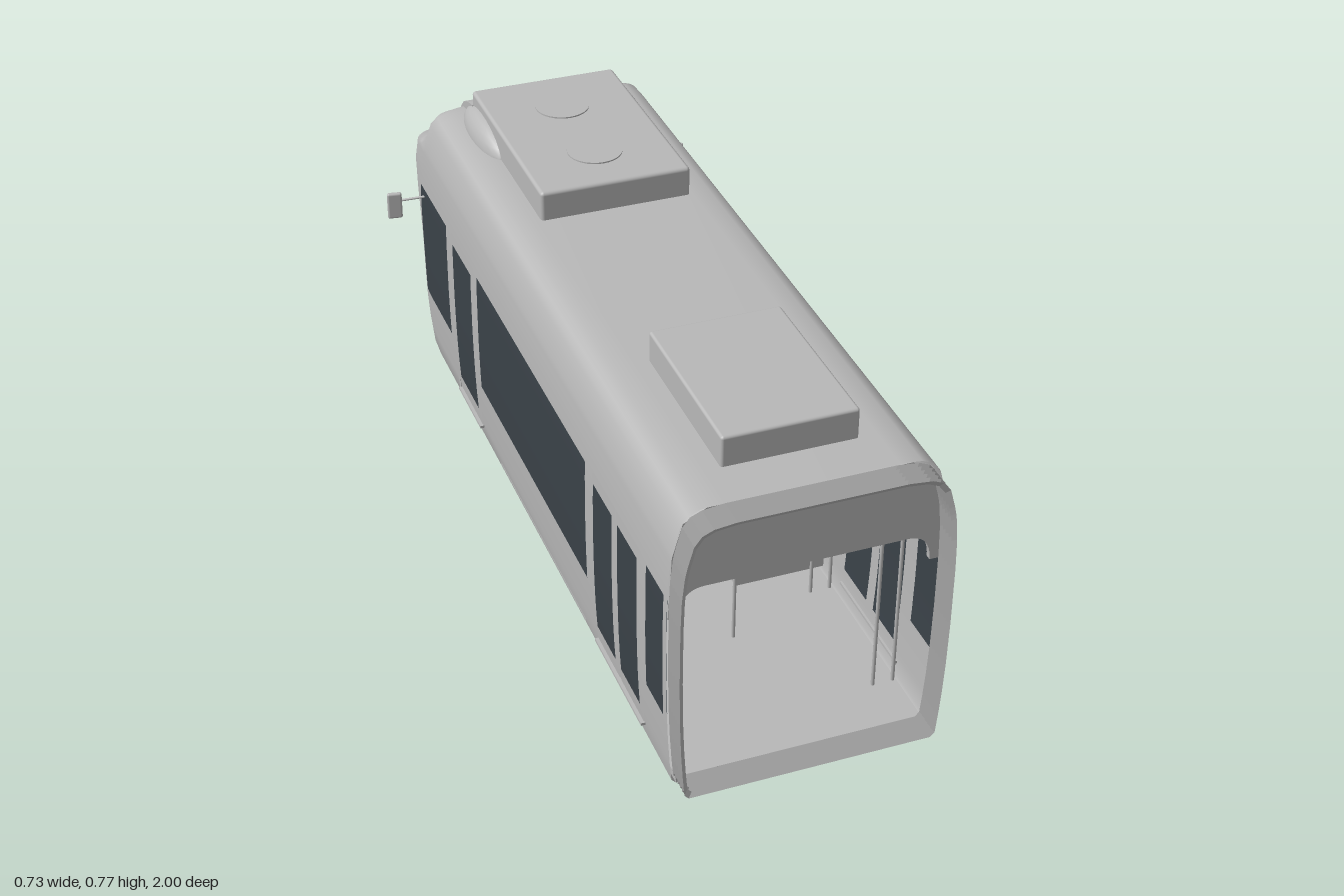
import * as THREE from 'three';
import { RoundedBoxGeometry } from 'three/addons/geometries/RoundedBoxGeometry.js';

export function createModel() {
  const tram = new THREE.Group();
  tram.name = 'tramCar';
  const paint = new THREE.MeshStandardMaterial({ color: 0xb8b8b8, side: THREE.DoubleSide });
  paint.name = 'lightGrey';
  const glass = new THREE.MeshStandardMaterial({ color: 0x3a4248, side: THREE.DoubleSide });
  glass.name = 'darkGlass';

  const add = (name, geo, mat = paint, x = 0, y = 0, z = 0) => {
    const m = new THREE.Mesh(geo, mat);
    m.name = name;
    m.position.set(x, y, z);
    tram.add(m);
    return m;
  };
  // box given by its limits
  const box = (name, x0, x1, y0, y1, z0, z1, mat = paint) => add(name,
    new THREE.BoxGeometry(Math.abs(x1 - x0), y1 - y0, Math.abs(z1 - z0)), mat,
    (x0 + x1) / 2, (y0 + y1) / 2, (z0 + z1) / 2);
  // thin rod between two points
  const rod = (name, a, b, r) => add(name, new THREE.TubeGeometry(
    new THREE.LineCurve3(new THREE.Vector3(...a), new THREE.Vector3(...b)), 1, r, 8));

  // body levels: height, half width, nose tip z, start of nose curve z, curve power
  const levels = [
    [0.065, 0.255, -0.95, -0.62, 1], [0.075, 0.264, -0.975, -0.62, 1],
    [0.12, 0.268, -0.995, -0.62, 1], [0.18, 0.272, -1, -0.62, 1],
    [0.25, 0.275, -0.99, -0.62, 1], [0.35, 0.277, -0.925, -0.62, 0.9],
    [0.48, 0.277, -0.845, -0.64, 0.65], [0.55, 0.275, -0.81, -0.655, 0.5],
    [0.6, 0.27, -0.782, -0.66, 0.45], [0.612, 0.268, -0.735, -0.65, 0.45],
    [0.63, 0.264, -0.702, -0.63, 0.45], [0.67, 0.253, -0.69, -0.63, 0.45],
    [0.69, 0.238, -0.682, -0.62, 0.45], [0.7, 0.215, -0.67, -0.62, 0.5],
    [0.705, 0.17, -0.65, -0.6, 0.5]];
  const REAR = 0.945, SIDE = 5, FRONT = 12;

  // half width of the shell at a height and a z
  const halfX = (y, z) => {
    let i = 0;
    while (i < levels.length - 2 && levels[i + 1][0] < y) i++;
    const t = (y - levels[i][0]) / (levels[i + 1][0] - levels[i][0]);
    const [, w, n, s, p] = levels[i].map((v, k) => v + (levels[i + 1][k] - v) * t);
    const f = Math.max(0, (s - z) / (s - n));
    return w * Math.pow(Math.max(0, 1 - Math.pow(f, 2 / p)), p / 2);
  };

  // plan outline of one level, with a fixed column on the windscreen edge
  const outline = ([y, w, n, s, p]) => {
    const edgeZ = THREE.MathUtils.mapLinear(y, 0.25, 0.6, -0.845, -0.755);
    const f = THREE.MathUtils.clamp((s - edgeZ) / (s - n), 0.4, 0.8);
    const aE = Math.asin(Math.pow(f, 1 / p));
    const half = [[w, y, REAR]];
    for (let j = 0; j <= SIDE + FRONT; j++) {
      const a = j <= SIDE ? aE * j / SIDE : aE + (Math.PI / 2 - aE) * (j - SIDE) / FRONT;
      half.push([w * Math.pow(Math.max(0, Math.cos(a)), p), y, s - (s - n) * Math.pow(Math.sin(a), p)]);
    }
    return [...half, ...half.slice(0, -1).reverse().map(([x, yy, z]) => [-x, yy, z])];
  };

  // surface through rows of points; cells chosen by isGlass go to the second material
  const skin = (rows, isGlass = () => false, capped = false) => {
    const n = rows[0].length, plain = [], dark = [];
    for (let i = 0; i < rows.length - 1; i++) for (let j = 0; j < n - 1; j++) {
      const a = i * n + j, b = a + 1, c = a + n, d = c + 1;
      (isGlass(i, j) ? dark : plain).push(a, b, c, b, d, c);
    }
    if (capped) for (let j = 0, o = (rows.length - 1) * n; j < (n - 1) / 2; j++) {
      const a = o + j, b = a + 1, c = o + n - 1 - j, d = c - 1;
      plain.push(a, b, c, b, d, c);
    }
    const g = new THREE.BufferGeometry();
    g.setAttribute('position', new THREE.Float32BufferAttribute(rows.flat(2), 3));
    g.setIndex([...plain, ...dark]);
    g.addGroup(0, plain.length, 0);
    g.addGroup(plain.length, dark.length, 1);
    g.computeVertexNormals();
    return g;
  };

  // shell with windscreen, and floor
  const rows = levels.map(outline);
  const last = rows[0].length - 1;
  add('bodyShell', skin(rows, (i, j) => i >= 4 && i < 8 && j > SIDE && j < last - SIDE - 1, true), [paint, glass]);
  const floor = new THREE.ExtrudeGeometry(
    new THREE.Shape(rows[0].map(([x, , z]) => new THREE.Vector2(x, z))), { depth: 0.015, bevelEnabled: false });
  add('floor', floor.rotateX(Math.PI / 2), paint, 0, 0.08, 0);

  // ribbed bellows round the open end
  const section = [...levels.map(([y, w]) => [w, y]), ...levels.map(([y, w]) => [-w, y]).reverse()];
  section.push(section[0]);
  const ribs = [];
  for (let k = 0; k <= 10; k++) {
    const s = k % 2 ? 0.95 : 0.98;
    ribs.push(section.map(([x, y]) => [x * s, 0.385 + (y - 0.385) * s, 0.94 + k * 0.006]));
  }
  add('bellows', skin(ribs).toNonIndexed());
  tram.children.at(-1).geometry.computeVertexNormals();

  // header over the opening, ceiling and cab wall
  const header = new THREE.Shape();
  header.moveTo(0.25, 0.46);
  header.quadraticCurveTo(0.25, 0.52, 0.2, 0.52);
  header.lineTo(-0.2, 0.52);
  header.quadraticCurveTo(-0.25, 0.52, -0.25, 0.46);
  [[-0.272, 0.46], [-0.265, 0.6], [-0.245, 0.67], [-0.2, 0.695], [0.2, 0.695], [0.245, 0.67], [0.265, 0.6], [0.272, 0.46]]
    .forEach(q => header.lineTo(...q));
  add('header', new THREE.ExtrudeGeometry(header, { depth: 0.012, bevelEnabled: false }), paint, 0, 0, 0.925);
  box('ceiling', -0.268, 0.268, 0.528, 0.536, 0.93, -0.44);
  box('cabWall', -0.268, 0.268, 0.08, 0.53, -0.435, -0.445);
  box('displayFrame', -0.067, 0.067, 0.453, 0.505, -0.424, -0.435);
  box('display', -0.062, 0.062, 0.458, 0.5, -0.42, -0.424, glass);
  box('cabDoorWindow', -0.17, -0.065, 0.33, 0.422, -0.43, -0.435, glass);

  // panel that follows the curve of the side wall
  const panel = (name, side, z0, z1, y0, y1, off, mat) => {
    const g = new THREE.PlaneGeometry(1, 1, 8, 8), pos = g.attributes.position;
    for (let i = 0; i < pos.count; i++) {
      const z = z0 + (z1 - z0) * (pos.getX(i) + 0.5), y = y0 + (y1 - y0) * (pos.getY(i) + 0.5);
      pos.setXYZ(i, side * (halfX(y, z) + off), y, z);
    }
    if (side < 0) g.index.array.reverse();
    g.computeVertexNormals();
    add(name, g, mat);
  };

  for (const side of [1, -1]) {
    // windows: z range and y range, seen from outside and inside
    for (const [z0, z1, y0, y1] of [[0.936, 0.845, 0.235, 0.52], [0.797, 0.69, 0.145, 0.5], [0.658, 0.55, 0.145, 0.5],
      [0.503, -0.22, 0.235, 0.52], [-0.267, -0.406, 0.145, 0.5], [-0.455, -0.663, 0.235, 0.52]]) {
      panel('window', side, z0, z1, y0, y1, 0.004, glass);
      panel('windowInside', side, z0, z1, y0, y1, -0.004, glass);
    }
    // door leaves and sills
    for (const [z0, z1] of [[0.81, 0.677], [0.672, 0.54], [-0.252, -0.422]])
      panel('doorLeaf', side, z0, z1, 0.105, 0.525, 0.002, paint);
    for (const [z0, z1] of [[0.81, 0.54], [-0.252, -0.422]])
      box('doorSill', side * 0.262, side * 0.276, 0.1, 0.106, z0, z1);

    // mirrors
    rod('mirrorArm', [side * 0.272, 0.5, -0.635], [side * 0.34, 0.49, -0.655], 0.003);
    add('mirror', new RoundedBoxGeometry(0.034, 0.065, 0.012, 3, 0.005), paint, side * 0.347, 0.481, -0.652)
      .rotation.y = side * 0.15;

    // headlight clusters
    for (const x of [0.105, 0.125, 0.145])
      add('headlight', new THREE.SphereGeometry(0.01, 12, 8), paint, side * x, 0.2,
        -0.62 - 0.378 * Math.sqrt(1 - (x / 0.273) ** 2));

    // side fairings of the front roof unit
    add('roofFairing', new THREE.SphereGeometry(1, 20, 12), paint, side * 0.158, 0.695, -0.51).scale.set(0.042, 0.055, 0.135);

    // wheels, track brakes and bogie frames
    for (const z of [0.35, -0.03]) {
      add('wheel', new THREE.CylinderGeometry(0.055, 0.055, 0.022, 28).rotateZ(Math.PI / 2), paint, side * 0.162, 0.06, z);
      add('wheelFlange', new THREE.CylinderGeometry(0.06, 0.06, 0.006, 28).rotateZ(Math.PI / 2), paint, side * 0.149, 0.06, z);
      add('axleBox', new THREE.CylinderGeometry(0.02, 0.02, 0.035, 16), paint, side * 0.177, 0.138, z);
    }
    for (const z of [0.26, 0.07])
      add('trackBrake', new THREE.CylinderGeometry(0.03, 0.03, 0.008, 18).rotateZ(Math.PI / 2), paint, side * 0.1, 0.058, z);

    // raised floor over the wheels, grab poles
    box('wheelCover', side * 0.065, side * 0.265, 0.08, 0.121, 0.45, -0.13);
    for (const z of [0.83, 0.52, -0.24]) {
      rod('pole', [side * 0.205, 0.08, z], [side * 0.205, 0.53, z], 0.004);
      rod('wallPole', [side * 0.248, 0.08, z], [side * 0.248, 0.53, z], 0.004);
    }
    // seats, single on one side and double on the other
    const [x0, x1] = side > 0 ? [0.07, 0.25] : [0.075, 0.165];
    for (const z of [0.38, 0.15, -0.08]) {
      box('seatBack', side * x0, side * x1, 0.2, 0.35, z, z - 0.015);
      box('seatCushion', side * x0, side * x1, 0.2, 0.22, z, z + 0.09);
      box('seatLeg', side * (x0 + 0.03), side * (x1 - 0.03), 0.12, 0.2, z + 0.02, z + 0.06);
    }
  }
  for (const z of [0.6, -0.33]) rod('centrePole', [0, 0.08, z], [0, 0.53, z], 0.004);

  // axles and motors
  for (const z of [0.35, -0.03]) rod('axle', [-0.16, 0.06, z], [0.16, 0.06, z], 0.009);
  for (const z of [0.22, 0.1])
    add('motor', new THREE.CylinderGeometry(0.02, 0.02, 0.15, 18).rotateZ(Math.PI / 2), paint, -0.013, 0.058, z);

  // roof units with fans
  add('rearRoofUnit', new RoundedBoxGeometry(0.272, 0.075, 0.376, 2, 0.006), paint, -0.002, 0.732, 0.658);
  add('frontRoofUnit', new RoundedBoxGeometry(0.334, 0.08, 0.5, 2, 0.008), paint, 0, 0.73, -0.35);
  for (const z of [-0.46, -0.24])
    add('fan', new THREE.CylinderGeometry(0.06, 0.06, 0.006, 32), paint, 0, 0.77, z);
  // sloping fairing ahead of the front unit
  const slope = new THREE.Shape([[0.59, 0.69], [0.59, 0.738], [0.62, 0.732], [0.66, 0.715], [0.685, 0.69]]
    .map(q => new THREE.Vector2(...q)));
  add('frontFairing', new THREE.ExtrudeGeometry(slope, { depth: 0.34, bevelEnabled: false }).rotateY(Math.PI / 2), paint, -0.17, 0, 0);

  // bar above the windscreen, and wiper
  box('windscreenBar', -0.14, 0.14, 0.592, 0.604, -0.775, -0.8);
  rod('wiperArm', [0.06, 0.25, -0.985], [0.23, 0.41, -0.94], 0.003);
  rod('wiperBlade', [0.02, 0.3, -0.965], [0.13, 0.27, -0.965], 0.003);
  return tram;
}
